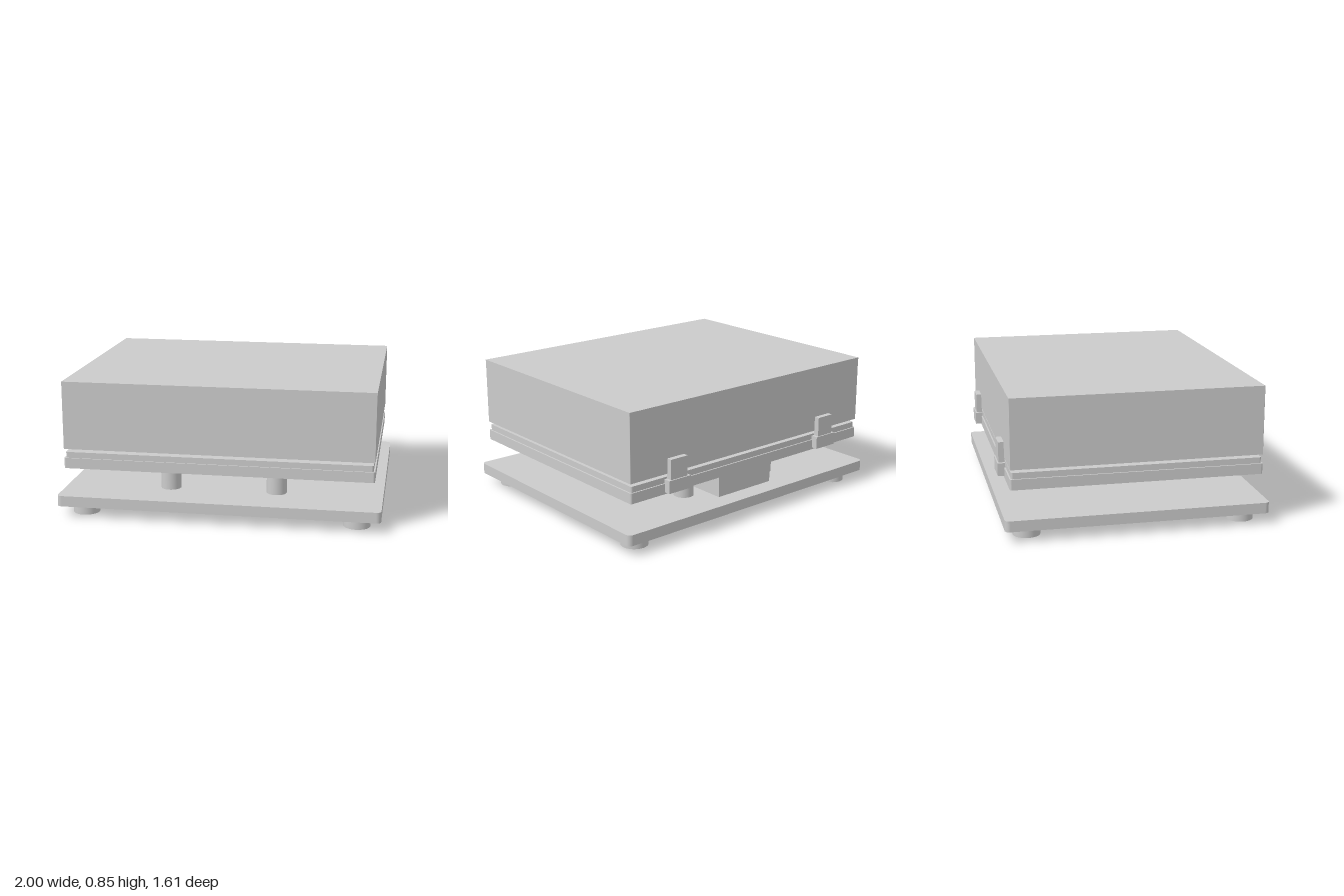
import * as THREE from 'three';

const material = new THREE.MeshStandardMaterial({ color: 0xcccccc });

export function createModel() {
  const root = new THREE.Group();
  root.name = 'turntable';

  const add = (name, geometry, x, y, z) => {
    const mesh = new THREE.Mesh(geometry, material);
    mesh.name = name;
    mesh.position.set(x, y, z);
    root.add(mesh);
    return mesh;
  };
  // Box and upright cylinder given by their bottom and top heights
  const box = (name, x, z, w, d, y0, y1) =>
    add(name, new THREE.BoxGeometry(w, y1 - y0, d), x, (y0 + y1) / 2, z);
  const disc = (name, x, z, r, y0, y1) =>
    add(name, new THREE.CylinderGeometry(r, r, y1 - y0, 48), x, (y0 + y1) / 2, z);

  const roundedRect = (Type, w, d, r) => {
    const s = new Type(), x = w / 2, y = d / 2;
    s.moveTo(-x + r, -y);
    s.lineTo(x - r, -y);
    s.absarc(x - r, -y + r, r, -Math.PI / 2, 0);
    s.lineTo(x, y - r);
    s.absarc(x - r, y - r, r, 0, Math.PI / 2);
    s.lineTo(-x + r, y);
    s.absarc(-x + r, y - r, r, Math.PI / 2, Math.PI);
    s.lineTo(-x, -y + r);
    s.absarc(-x + r, -y + r, r, Math.PI, Math.PI * 1.5);
    return s;
  };
  // Flat slab with rounded corners and optional openings
  const slab = (name, w, d, r, y0, y1, holes = []) => {
    const shape = roundedRect(THREE.Shape, w, d, r);
    shape.holes.push(...holes);
    const g = new THREE.ExtrudeGeometry(shape, { depth: y1 - y0, bevelEnabled: false, curveSegments: 8 });
    g.rotateX(-Math.PI / 2);
    return add(name, g, 0, y0, 0);
  };

  // Base board: shallow recess below, with screw holes under the posts
  const postX = 0.337, postZ = 0.507;
  const screwHoles = [];
  for (const sx of [-1, 1]) for (const sz of [-1, 1]) {
    const hole = new THREE.Path();
    hole.absarc(sx * postX, sz * postZ, 0.012, 0, Math.PI * 2);
    screwHoles.push(hole);
  }
  slab('baseBoard', 2, 1.612, 0.03, 0.076, 0.135, screwHoles);
  slab('baseRim', 2, 1.612, 0.03, 0.068, 0.076, [roundedRect(THREE.Path, 1.88, 1.49, 0.02)]);

  // Feet and support posts
  for (const sx of [-1, 1]) for (const sz of [-1, 1]) {
    disc('foot', sx * 0.85, sz * 0.662, 0.083, 0, 0.06);
    disc('footNeck', sx * 0.85, sz * 0.662, 0.07, 0.06, 0.08);
    disc('supportPost', sx * postX, sz * postZ, 0.063, 0.135, 0.306);
  }

  // Power supply box on small pads
  box('powerSupply', -0.003, -0.458, 0.436, 0.484, 0.143, 0.295);
  for (const x of [-0.168, 0.162]) for (const z of [-0.27, -0.645])
    disc('powerSupplyPad', x, z, 0.02, 0.134, 0.144);

  // Two layer plinth
  slab('plinth', 1.91, 1.535, 0.012, 0.306, 0.371);
  slab('topPlate', 1.89, 1.518, 0.012, 0.371, 0.408);

  // Main bearing, platter and spindle
  const bx = -0.108, bz = 0.053;
  disc('bearingHousing', bx, bz, 0.063, 0.218, 0.284);
  disc('bearingFlange', bx, bz, 0.098, 0.28, 0.306);
  disc('bearingHub', bx, bz, 0.148, 0.408, 0.455);
  disc('platter', bx, bz, 0.61, 0.455, 0.53);
  disc('spindle', bx, bz, 0.015, 0.53, 0.58);

  // Drive motor with pulley
  disc('motor', -0.68, -0.473, 0.106, 0.26, 0.306);
  disc('motorPulley', -0.625, -0.4, 0.064, 0.408, 0.45);

  // Tonearm with its rest
  disc('tonearmBase', 0.715, -0.395, 0.093, 0.408, 0.47);
  disc('tonearmPillar', 0.715, -0.395, 0.04, 0.47, 0.62);
  disc('tonearmRest', 0.57, -0.2, 0.018, 0.408, 0.58);
  const armPath = new THREE.CatmullRomCurve3([
    [0.73, 0.61, -0.55], [0.715, 0.61, -0.395], [0.69, 0.61, 0.1], [0.6, 0.59, 0.42],
  ].map(p => new THREE.Vector3(...p)));
  add('tonearm', new THREE.TubeGeometry(armPath, 32, 0.013, 10), 0, 0, 0);
  box('cartridge', 0.6, 0.42, 0.06, 0.1, 0.55, 0.6);

  // Hollow dust cover, open underneath
  slab('coverWalls', 1.91, 1.53, 0.002, 0.428, 0.83, [roundedRect(THREE.Path, 1.87, 1.49, 0.002)]);
  box('coverTop', 0, 0, 1.91, 1.53, 0.83, 0.852);

  // Rear hinges
  for (const sx of [-1, 1]) {
    box('hingeBlock', sx * 0.62, -0.784, 0.165, 0.046, 0.318, 0.397);
    box('hingeTab', sx * 0.62, -0.781, 0.125, 0.036, 0.397, 0.522);
  }

  return root;
}
